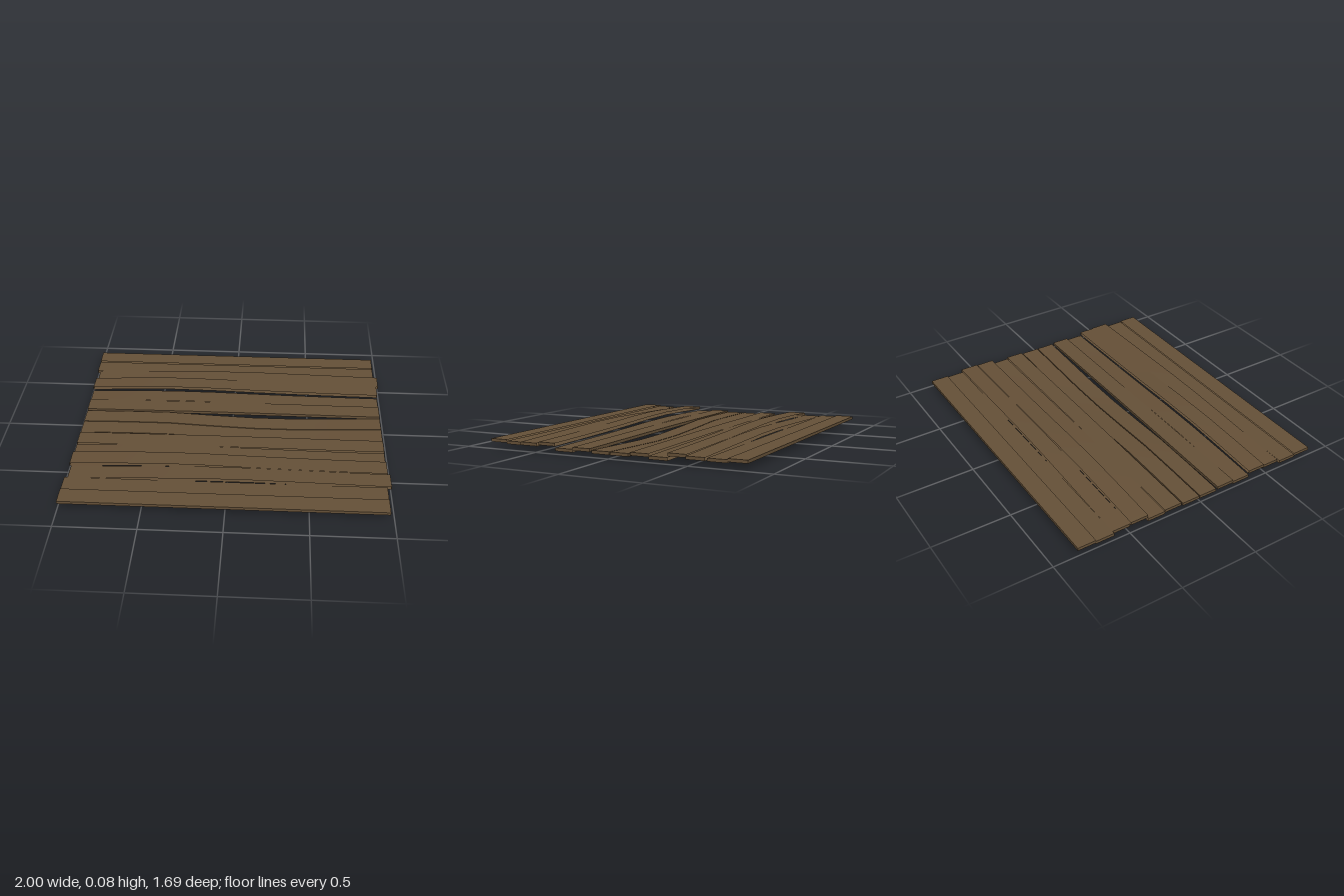
import * as THREE from 'three';

const THICKNESS = 0.019;

// One row per board, from the middle outwards: z range, x range,
// heights of the upper face along x, and which long edges are closed.
const BOARDS = [
  { z: [0.003, 0.122], x: [-0.99, 0.985], top: [0.04, 0.045, 0.046, 0.032, 0.021, 0.021, 0.031, 0.041], inner: true, outer: true },
  { z: [0.134, 0.251], x: [-0.99, 0.985], top: [0.048, 0.049, 0.051, 0.052, 0.052, 0.051, 0.05, 0.049] },
  { z: [0.251, 0.37], x: [-0.99, 0.985], top: [0.038, 0.048, 0.054, 0.053, 0.047, 0.042, 0.039, 0.037] },
  { z: [0.37, 0.488], x: [-0.99, 0.985], top: [0.066, 0.078, 0.087, 0.085, 0.077, 0.071, 0.067, 0.064] },
  { z: [0.488, 0.606], x: [-0.98, 1], top: [0.05, 0.056, 0.066, 0.074, 0.075, 0.07, 0.064, 0.058] },
  { z: [0.606, 0.725], x: [-1, 0.975], top: [0.052, 0.052] },
  { z: [0.725, 0.843], x: [-1, 0.975], top: [0.059, 0.059], outer: true },
];
BOARDS[1].inner = true;

// A thin box whose vertices follow the warp of the board;
// long edges that butt against a neighbour are left open.
function boardGeometry({ z, x, top }, front, back) {
  const segments = top.length - 1;
  const width = x[1] - x[0];
  const geometry = new THREE.BoxGeometry(width, THICKNESS, z[1] - z[0], segments, 1, 1);
  const position = geometry.attributes.position;
  for (let i = 0; i < position.count; i++) {
    const step = Math.round((position.getX(i) / width + 0.5) * segments);
    position.setY(i, position.getY(i) + top[step] - THICKNESS / 2);
  }
  const keep = [true, true, true, true, front, back];
  const index = Array.from(geometry.index.array);
  geometry.setIndex(geometry.groups.flatMap((g, i) => (keep[i] ? index.slice(g.start, g.start + g.count) : [])));
  geometry.clearGroups();
  geometry.computeVertexNormals();
  return geometry;
}

export function createModel() {
  const model = new THREE.Group();
  model.name = 'plankFloor';
  const wood = new THREE.MeshStandardMaterial({ color: 0x665138, side: THREE.DoubleSide });
  wood.name = 'brown wood';

  // Boards mirrored about the middle
  for (const side of [1, -1]) {
    BOARDS.forEach((board, i) => {
      const inner = !!board.inner, outer = !!board.outer;
      const geometry = boardGeometry(board, side > 0 ? outer : inner, side > 0 ? inner : outer);
      const mesh = new THREE.Mesh(geometry, wood);
      mesh.name = `${side > 0 ? 'front' : 'back'}Board${i + 1}`;
      mesh.position.set((board.x[0] + board.x[1]) / 2, 0, (side * (board.z[0] + board.z[1])) / 2);
      model.add(mesh);
    });
  }
  return model;
}
